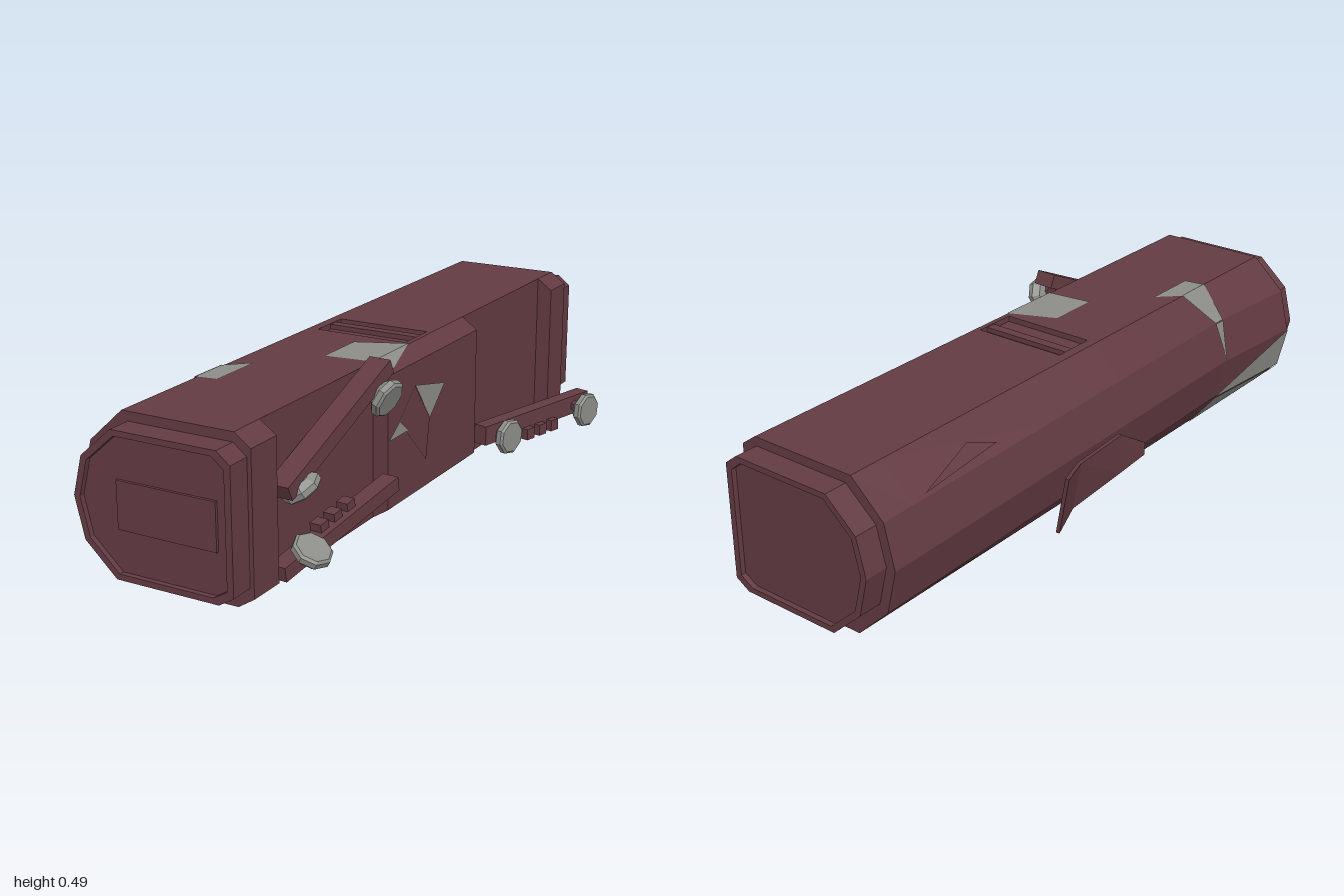
import * as THREE from 'three';

const hullMat = new THREE.MeshStandardMaterial({ color: 0x633b42, flatShading: true, side: THREE.DoubleSide });
const greyMat = new THREE.MeshStandardMaterial({ color: 0x8c8c88, flatShading: true, side: THREE.DoubleSide });
const V = (p) => new THREE.Vector3(...p);

function add(parent, name, geo, mat = hullMat) {
  const mesh = new THREE.Mesh(geo, mat);
  mesh.name = name;
  parent.add(mesh);
  return mesh;
}

// Joins cross-sections (arrays of [x, y, z], counterclockwise from +z) into a closed skin
function loft(sections) {
  const n = sections[0].length, pos = sections.flat(2), idx = [];
  for (let k = 0; k < sections.length - 1; k++) {
    for (let i = 0; i < n; i++) {
      const j = (i + 1) % n, a = k * n + i, b = k * n + j;
      idx.push(a, b, b + n, a, b + n, a + n);
    }
  }
  const last = (sections.length - 1) * n;
  for (let i = 1; i < n - 1; i++) idx.push(0, i + 1, i, last, last + i, last + i + 1);
  const g = new THREE.BufferGeometry();
  g.setAttribute('position', new THREE.Float32BufferAttribute(pos, 3));
  g.setIndex(idx);
  const flat = g.toNonIndexed();
  flat.computeVertexNormals();
  return flat;
}

// Crumple of the bulged side, pushed inward along the length
function dent(z) {
  const keys = [[-0.93, 0], [0, 0.015], [0.59, 0.025], [0.93, 0]];
  for (let i = 1; i < keys.length; i++) {
    const [z0, d0] = keys[i - 1], [z1, d1] = keys[i];
    if (z <= z1) return THREE.MathUtils.mapLinear(z, z0, z1, d0, d1);
  }
  return 0;
}

function hullSection(z, right, ventY) {
  const d = dent(z);
  return [
    [-0.17, 0], [0.16, 0], [right, 0.03], [right, 0.415], [0.16, 0.449],
    [0.145, 0.449], [0.145, ventY], [-0.14, ventY], [-0.14, 0.449], [-0.17, 0.449],
    [-0.272 + d, 0.355], [-0.303 + d, 0.23], [-0.272 + d, 0.1],
  ].map(([x, y]) => [x, y, z]);
}

// Outline of the end caps, scaled about the middle of the hull
function capPoints(sx, sy) {
  return [[-0.17, 0], [0.16, 0], [0.207, 0.03], [0.207, 0.415], [0.165, 0.45],
    [-0.17, 0.45], [-0.272, 0.355], [-0.302, 0.23], [-0.272, 0.1]]
    .map(([x, y]) => new THREE.Vector2(-0.04 + (x + 0.048) * sx, 0.227 + (y - 0.225) * sy));
}

// Thin polygon fan lying on the hull
function patch(parent, name, points, mat = greyMat) {
  const pos = [];
  for (let i = 1; i < points.length - 1; i++) pos.push(...points[0], ...points[i], ...points[i + 1]);
  const g = new THREE.BufferGeometry();
  g.setAttribute('position', new THREE.Float32BufferAttribute(pos, 3));
  g.computeVertexNormals();
  return add(parent, name, g, mat);
}

// Bevelled eight-sided foot pad facing along a direction
function pad(parent, centre, normal) {
  const profile = [[0, -0.02], [0.038, -0.02], [0.055, -0.004], [0.055, 0.012], [0.048, 0.018], [0, 0.018]];
  const m = add(parent, 'footPad', new THREE.LatheGeometry(profile.map((p) => new THREE.Vector2(...p)), 8), greyMat);
  m.position.set(...centre);
  m.quaternion.setFromUnitVectors(new THREE.Vector3(0, 1, 0), V(normal).normalize());
}

// Straight arm from a to b, with small ribs on one of its sides
function arm(parent, name, a, b, width, height, ribOffset, pads) {
  const g = new THREE.Group();
  g.name = name;
  parent.add(g);
  const beam = new THREE.Group();
  const from = V(a), to = V(b), len = from.distanceTo(to);
  beam.position.copy(from).lerp(to, 0.5);
  beam.lookAt(to);
  g.add(beam);
  add(beam, 'armBeam', new THREE.BoxGeometry(width, height, len));
  for (const t of [-0.06, 0, 0.06]) {
    add(beam, 'armRib', new THREE.BoxGeometry(0.035, 0.035, 0.035)).position.set(...ribOffset, t);
  }
  for (const [c, n] of pads) {
    pad(g, c, n);
    // short stem between the pad and the beam
    const axis = new THREE.Line3(from, to).closestPointToPoint(V(c), true, new THREE.Vector3());
    add(g, 'padStem', new THREE.TubeGeometry(new THREE.LineCurve3(axis, V(c)), 1, 0.018, 6));
  }
}

export function createModel() {
  const model = new THREE.Group();
  model.name = 'wreckedCarriage';

  // Hull with two side bays and a roof vent, formed by steps between sections
  const F = 0.207, R = 0.16, T = 0.449, W = 0.432;
  add(model, 'hull', loft([
    [-0.93, F, T], [-0.82, F, T], [-0.82, R, T], [-0.27, R, T], [-0.27, F, T],
    [-0.07, F, T], [-0.07, F, W], [0, F, W], [0.06, F, W], [0.06, F, T], [0.27, F, T],
    [0.27, R, T], [0.59, R, T], [0.82, R, T], [0.82, F, T], [0.93, F, T],
  ].map((s) => hullSection(...s))));
  add(model, 'ventSlat', new THREE.BoxGeometry(0.285, 0.014, 0.03)).position.set(0.0025, 0.44, -0.025);

  // End caps: a raised rim around a sunken panel
  for (const s of [1, -1]) {
    const rim = new THREE.Shape(capPoints(0.923, 0.872));
    rim.holes.push(new THREE.Path(capPoints(0.85, 0.8)));
    const ring = add(model, 'endRim', new THREE.ExtrudeGeometry(rim, { depth: 0.07, bevelEnabled: false }));
    ring.position.z = s > 0 ? 0.93 : -1;
    const panel = add(model, 'endPanel', new THREE.ExtrudeGeometry(
      new THREE.Shape(capPoints(0.85, 0.8)), { depth: 0.055, bevelEnabled: false }));
    panel.position.z = s > 0 ? 0.93 : -0.985;
  }
  add(model, 'frontHatch', new THREE.BoxGeometry(0.293, 0.13, 0.012)).position.set(-0.001, 0.227, 0.987);

  // Bent sheet peeling off the bulged side
  const sheet = [[-0.288, 0.14, 0.1, 0.14, 0], [-0.3, 0, 0.1, 0.225, 0.002],
    [-0.325, -0.24, 0.1, 0.245, 0.012], [-0.38, -0.37, 0.1, 0.272, 0.015]];
  add(model, 'peeledSheet', loft(sheet.slice().reverse().map(([x, z, y0, y1, lean]) => [
    [x + lean - 0.006, y0, z], [x + lean + 0.006, y0, z], [x - lean + 0.006, y1, z], [x - lean - 0.006, y1, z],
  ])));

  // Bare plates where the skin is torn
  patch(model, 'roofPlate', [[0.02, 0.451, 0.13], [0.02, 0.451, 0.29], [0.16, 0.451, 0.275], [0.16, 0.451, 0.07]]);
  patch(model, 'roofEdgePlate', [[0.16, 0.451, 0.07], [0.16, 0.451, 0.27], [0.209, 0.416, 0.27]]);
  patch(model, 'cornerPlateTop', [[-0.11, 0.451, 0.44], [-0.172, 0.451, 0.5], [-0.172, 0.451, 0.62], [-0.11, 0.451, 0.61]]);
  patch(model, 'cornerPlateSide', [[-0.172, 0.452, 0.5], [-0.252, 0.358, 0.57], [-0.252, 0.358, 0.61], [-0.172, 0.452, 0.62]]);
  patch(model, 'sideSliver', [[-0.253, 0.356, 0.57], [-0.253, 0.356, 0.61], [-0.282, 0.23, 0.6]]);
  patch(model, 'sidePlate', [[-0.306, 0.23, 0.93], [-0.275, 0.1, 0.93], [-0.25, 0.1, 0.59]]);
  patch(model, 'lowerSidePlate', [[-0.275, 0.098, 0.93], [-0.2, 0.026, 0.93], [-0.172, -0.001, 0.57], [-0.25, 0.098, 0.59]]);
  patch(model, 'doorPlateLarge', [[0.21, 0.35, 0.12], [0.21, 0.23, 0.03], [0.21, 0.31, -0.06]]);
  patch(model, 'doorPlateSmall', [[0.21, 0.27, 0.21], [0.21, 0.23, 0.27], [0.21, 0.23, 0.16]]);
  patch(model, 'doorDent', [[0.209, 0.35, 0.12], [0.209, 0.27, 0.21], [0.209, 0.11, 0.05], [0.209, 0.23, 0.03]], hullMat);
  patch(model, 'shoulderDent', [[-0.27, 0.367, -0.78], [-0.225, 0.408, -0.57], [-0.25, 0.38, -0.48]], hullMat);

  // Detached arms beside the bays
  arm(model, 'rearArm', [0.325, 0.065, -0.83], [0.195, 0.065, -0.335], 0.045, 0.06, [0.025, -0.035],
    [[[0.265, 0.058, -0.385], [1, 0, 0.25]], [[0.37, 0.058, -0.745], [1, 0, 0.25]]]);
  arm(model, 'upperFrontArm', [0.19, 0.255, 0.785], [0.218, 0.465, 0.325], 0.065, 0.042, [0.01, -0.03],
    [[[0.255, 0.392, 0.37], [0.9, -0.4, 0.1]], [[0.205, 0.25, 0.715], [0.4, -0.85, -0.35]]]);
  arm(model, 'lowerFrontArm', [0.19, 0.045, 0.8], [0.228, 0.125, 0.29], 0.05, 0.04, [0.01, 0.025],
    [[[0.245, 0.088, 0.73], [0.5, 0.85, 0.1]]]);

  return model;
}
